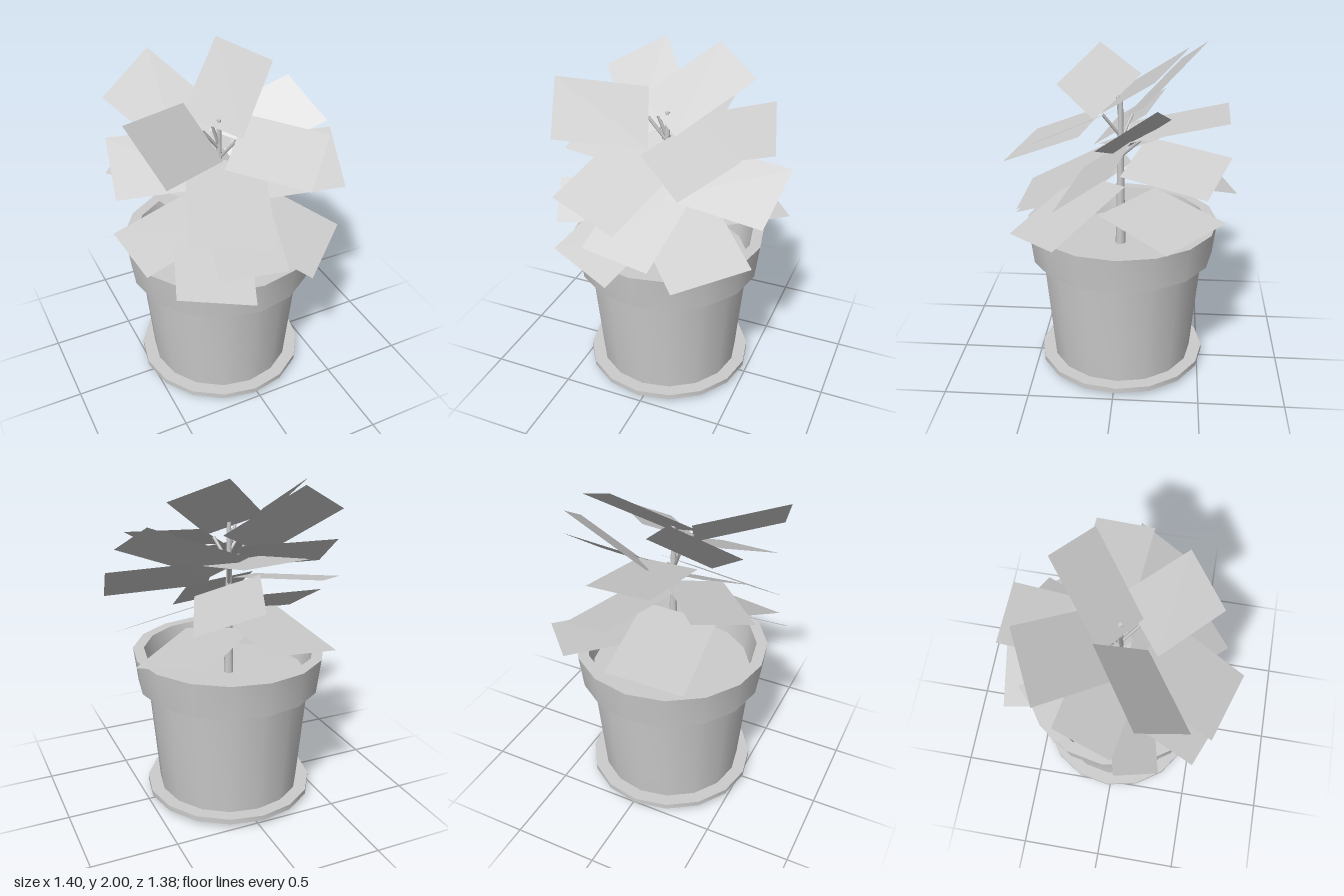
import * as THREE from 'three';
import { toCreasedNormals } from 'three/addons/utils/BufferGeometryUtils.js';

const clay = new THREE.MeshStandardMaterial({ color: 0xcccccc, side: THREE.DoubleSide });
clay.name = 'plain grey';

const CX = -0.025, CZ = -0.02; // pot axis

function add(parent, name, geometry) {
  const mesh = new THREE.Mesh(geometry, clay);
  mesh.name = name;
  parent.add(mesh);
  return mesh;
}

// Sixteen-sided turned part from [radius, height] pairs
function turned(parent, name, profile) {
  const pts = profile.map(([r, y]) => new THREE.Vector2(r, y));
  const mesh = add(parent, name, toCreasedNormals(new THREE.LatheGeometry(pts, 16), 0.5));
  mesh.position.set(CX, 0, CZ);
}

// Each leaf: two outer corners, then the inner corner next to the second one
const upperLeaves = [
  [0.135, 2.0, -0.39, 0.41, 1.87, -0.21, 0.06, 1.6, 0.1],
  [-0.63, 1.87, 0.16, -0.52, 1.62, 0.43, -0.08, 1.525, 0.15],
  [-0.24, 1.96, -0.5, -0.567, 1.785, -0.35, -0.26, 1.475, 0],
  [-0.205, 1.61, -0.63, 0.16, 1.59, -0.62, 0.165, 1.465, -0.05],
  [0.5, 1.615, 0.29, 0.25, 1.45, 0.53, -0.1, 1.505, 0.205],
  [0.525, 1.755, -0.23, 0.62, 1.575, 0.075, 0.08, 1.375, 0.005],
];
const middleLeaves = [
  [-0.46, 1.345, 0.555, -0.04, 1.27, 0.69, 0.14, 1.49, 0.215],
  [0.7, 1.475, -0.01, 0.635, 1.245, 0.295, 0.02, 1.265, 0.205],
  [-0.6, 1.59, -0.26, -0.665, 1.38, 0.05, -0.09, 1.37, 0.155],
  [0.047, 1.357, -0.65, 0.39, 1.23, -0.505, 0.19, 1.28, -0.02],
  [-0.365, 1.44, -0.5, -0.62, 1.37, -0.26, -0.27, 1.32, 0.14],
];
const lowerLeaves = [
  [0.345, 1.085, -0.61, 0.64, 1.02, -0.295, 0.2, 1.045, 0.1],
  [0.036, 1.135, -0.69, -0.39, 1.08, -0.627, -0.32, 1.165, -0.05],
  [-0.7, 1.185, 0.065, -0.61, 1.02, 0.305, -0.04, 1.09, 0.17],
  [0.245, 0.935, 0.61, 0.595, 1.0, 0.31, 0.2, 1.225, -0.05],
  [-0.3, 1.07, 0.565, 0.104, 1.025, 0.595, 0.2, 1.325, 0.06],
  [-0.52, 0.97, 0.49, -0.12, 0.907, 0.65, 0.06, 1.1, 0.18],
];

function leaf(parent, n) {
  const a = new THREE.Vector3(n[0], n[1], n[2]);
  const b = new THREE.Vector3(n[3], n[4], n[5]);
  const c = new THREE.Vector3(n[6], n[7], n[8]);
  const d = a.clone().add(c).sub(b);
  // Keep the front of the blade facing up
  const up = b.clone().sub(a).cross(c.clone().sub(a)).y > 0;
  const order = up ? [a, b, c, a, c, d] : [a, c, b, a, d, c];
  const geo = new THREE.BufferGeometry().setFromPoints(order);
  geo.computeVertexNormals();
  add(parent, 'leaf', geo);
  return c.add(d).multiplyScalar(0.5);
}

export function createModel() {
  const model = new THREE.Group();
  model.name = 'pottedPlant';

  // Pot with open underside
  turned(model, 'saucer', [[0.41, 0.06], [0.41, 0], [0.44, 0], [0.507, 0.03], [0.507, 0.062], [0.43, 0.062]]);
  turned(model, 'potBody', [[0.43, 0.06], [0.488, 0.725]]);
  turned(model, 'potRim', [[0.488, 0.725], [0.545, 0.725], [0.57, 0.935], [0.505, 0.935], [0.475, 0.77]]);
  turned(model, 'soil', [[0.475, 0.77], [0, 0.77]]);

  // Tapered stem
  const stem = add(model, 'stem', new THREE.CylinderGeometry(0.013, 0.03, 0.92, 8));
  stem.position.set(-0.03, 1.23, -0.01);

  // Three tiers of flat leaves; the upper ones have thin stalks
  const foliage = new THREE.Group();
  foliage.name = 'foliage';
  model.add(foliage);
  for (const n of [...middleLeaves, ...lowerLeaves]) leaf(foliage, n);
  for (const n of upperLeaves) {
    const end = leaf(foliage, n);
    const start = new THREE.Vector3(-0.03, end.y - 0.14, -0.01);
    add(foliage, 'leafStalk', new THREE.TubeGeometry(new THREE.LineCurve3(start, end), 1, 0.01, 5));
  }
  return model;
}
